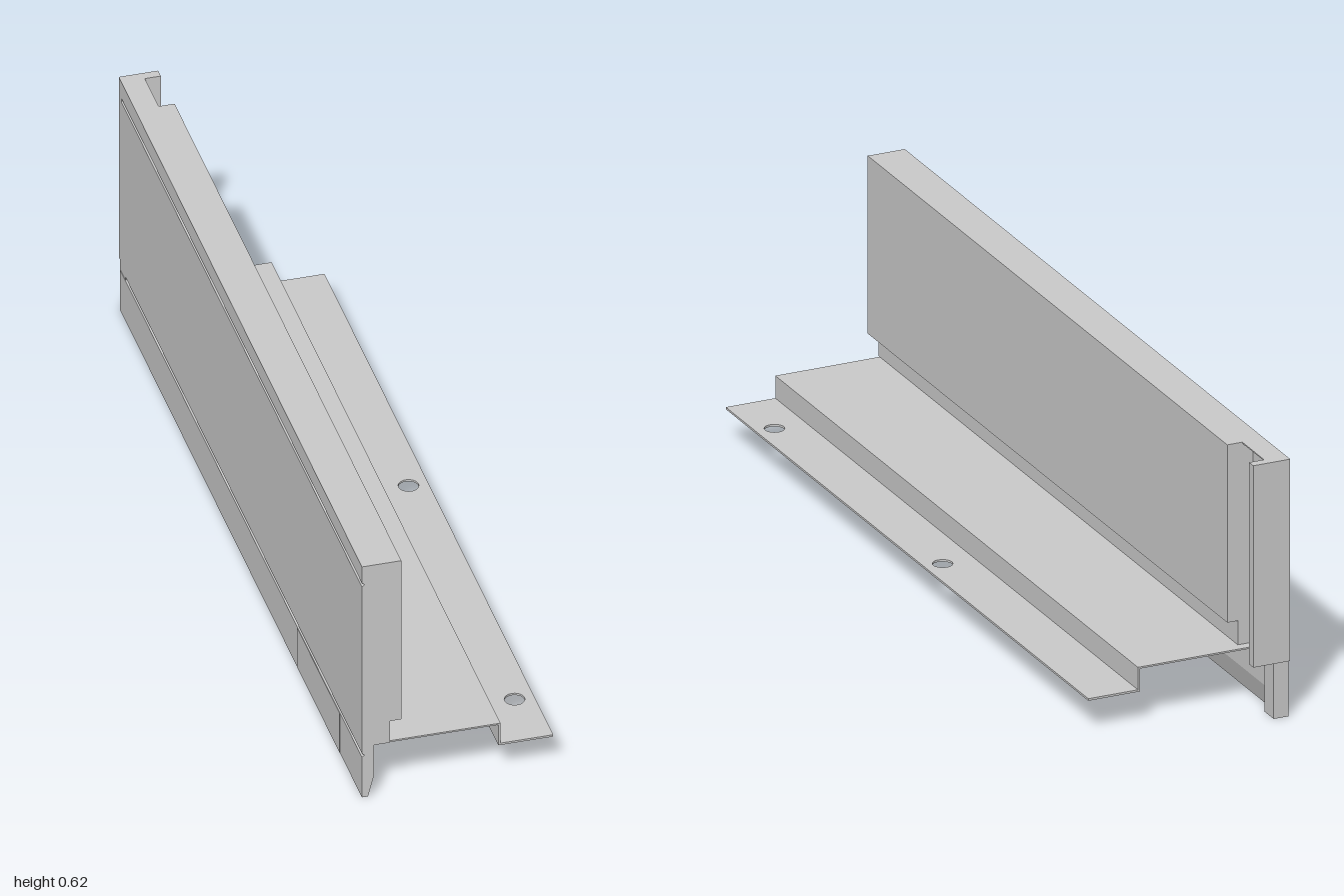
import * as THREE from 'three';

const material = new THREE.MeshStandardMaterial({ color: 0xcccccc, flatShading: true });

function addMesh(group, name, geometry) {
  const mesh = new THREE.Mesh(geometry, material);
  mesh.name = name;
  group.add(mesh);
  return mesh;
}

// Extrude an x/y profile from z0 to z1
function extrudeZ(points, z0, z1) {
  const shape = new THREE.Shape(points.map(([x, y]) => new THREE.Vector2(x, y)));
  return new THREE.ExtrudeGeometry(shape, { depth: z1 - z0, bevelEnabled: false }).translate(0, 0, z0);
}

// Box given by its limits
function boxBetween(x0, x1, y0, y1, z0, z1) {
  return new THREE.BoxGeometry(x1 - x0, y1 - y0, z1 - z0)
    .translate((x0 + x1) / 2, (y0 + y1) / 2, (z0 + z1) / 2);
}

// Outer face with two V grooves, listed from bottom to top
const outerFace = [[-0.222, 0]];
for (const y of [0.113, 0.573]) {
  outerFace.push([-0.222, y - 0.005], [-0.216, y], [-0.222, y + 0.005]);
}
outerFace.push([-0.222, 0.622]);

// Tapered lower lip shared by the panel and its recessed end
const lip = [[-0.194, 0.055], [-0.208, 0]];

export function createModel() {
  const group = new THREE.Group();
  group.name = 'panelWithBracket';

  // Thick panel with a step above the bracket
  addMesh(group, 'panel', extrudeZ([
    ...outerFace,
    [-0.131, 0.622], [-0.131, 0.194], [-0.157, 0.194], [-0.157, 0.136], [-0.194, 0.136],
    ...lip,
  ], -0.865, 1));

  // Recessed end under a thin top cap
  addMesh(group, 'recessedEnd', extrudeZ([
    ...outerFace,
    [-0.168, 0.622], [-0.168, 0.619], [-0.194, 0.619],
    ...lip,
  ], -0.988, -0.865));

  // End flange and the short block at its foot
  addMesh(group, 'endFlange', boxBetween(-0.222, -0.131, 0.136, 0.622, -1, -0.978));
  addMesh(group, 'endBlock', boxBetween(-0.2215, -0.185, 0, 0.2, -0.992, -0.945));

  // Thin cover on the lower outer face
  addMesh(group, 'lowerCover', boxBetween(-0.2228, -0.221, 0.001, 0.107, 0.47, 0.82));

  // Folded bracket: shelf and riser
  addMesh(group, 'bracketShelf', extrudeZ([
    [-0.194, 0.136], [-0.194, 0.132], [0.095, 0.132], [0.095, 0.077], [0.1, 0.077], [0.1, 0.136],
  ], -0.888, 0.993));

  // Bracket foot with two screw holes
  const foot = new THREE.Shape([[0.1, -0.993], [0.222, -0.993], [0.222, 0.888], [0.1, 0.888]]
    .map(([x, y]) => new THREE.Vector2(x, y)));
  for (const z of [-0.037, 0.835]) {
    foot.holes.push(new THREE.Path().absarc(0.177, -z, 0.023, 0, Math.PI * 2, true));
  }
  addMesh(group, 'bracketFoot', new THREE.ExtrudeGeometry(foot, {
    depth: 0.005, bevelEnabled: false, curveSegments: 24,
  }).rotateX(-Math.PI / 2).translate(0, 0.077, 0));

  return group;
}
